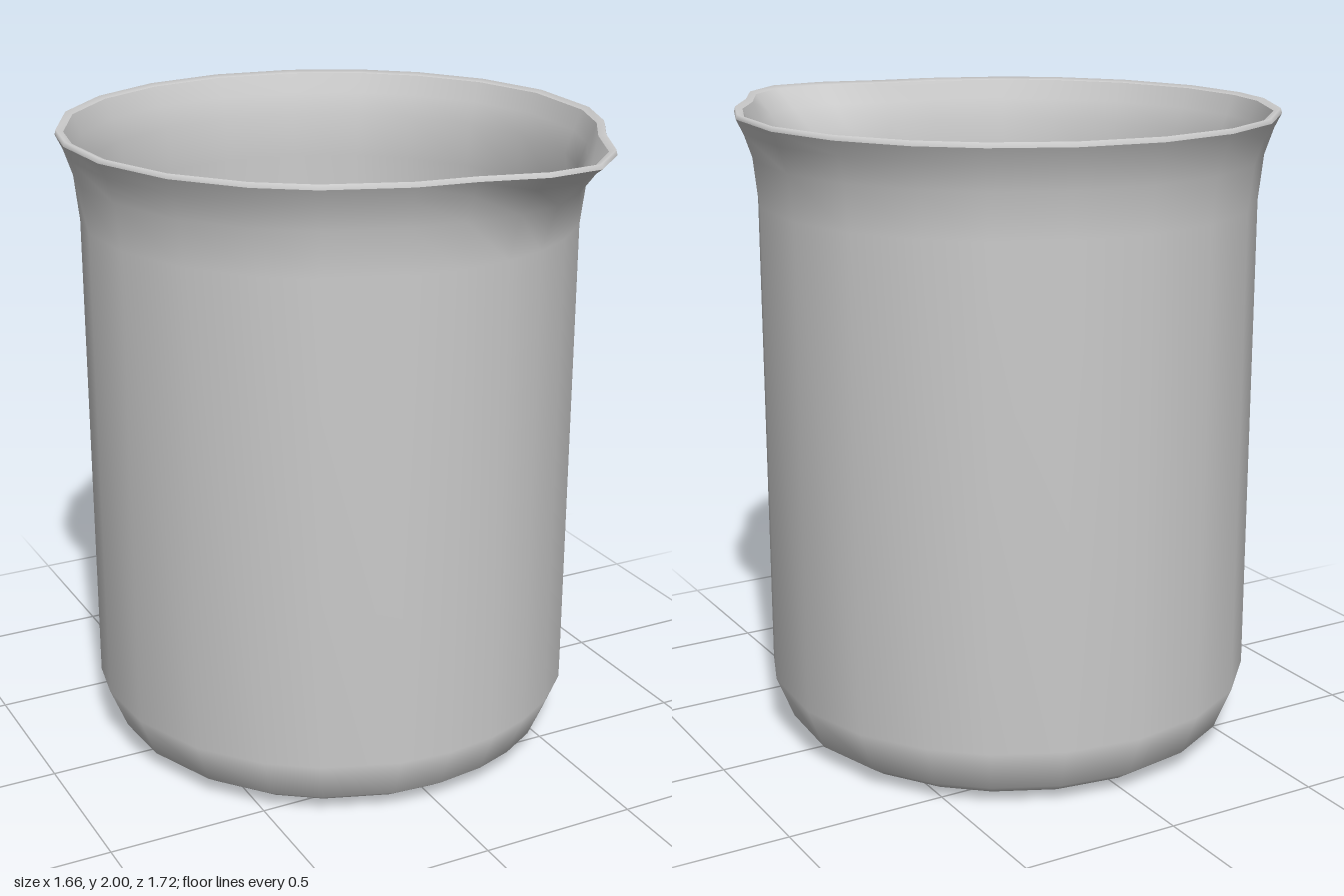
import * as THREE from 'three';

// Directions of the wall's vertical edges in degrees, 0 = front, closer together at the spout
const ANGLES = [1.4, 13.9, 24.7, 36, 49, 62, 76, 97, 115, 132, 146, 163, 181,
  199, 217, 235, 253, 265, 282, 301, 318, 331, 349];
const SPOUT_ANGLE = 25;
const AXIS_Z = -0.03;

// How far the lip is pulled out at this angle (0..1)
function spout(deg) {
  const d = Math.abs(((deg - SPOUT_ANGLE + 540) % 360) - 180);
  return d < 28 ? 0.5 + 0.5 * Math.cos((d / 28) * Math.PI) : 0;
}

// Sweep a profile of [radius, y, spout pull] round the axis with smooth normals
function sweep(profile) {
  const n = ANGLES.length, pos = [], index = [];
  for (const [r, y, pull = 0] of profile) {
    for (const deg of ANGLES) {
      const t = THREE.MathUtils.degToRad(deg);
      const radius = r + pull * spout(deg);
      pos.push(radius * Math.sin(t), y, radius * Math.cos(t) + AXIS_Z);
    }
  }
  for (let i = 0; i < profile.length - 1; i++) {
    for (let j = 0; j < n; j++) {
      const a = i * n + j, b = i * n + (j + 1) % n;
      if (profile[i][0] > 0) index.push(a, b, a + n);
      if (profile[i + 1][0] > 0) index.push(b, b + n, a + n);
    }
  }
  const geo = new THREE.BufferGeometry();
  geo.setAttribute('position', new THREE.Float32BufferAttribute(pos, 3));
  geo.setIndex(index);
  geo.computeVertexNormals();
  return geo;
}

export function createModel() {
  const group = new THREE.Group();
  group.name = 'beaker';
  const grey = new THREE.MeshStandardMaterial({ color: 0xcccccc, side: THREE.DoubleSide });
  grey.name = 'light grey';

  const parts = {
    // underside, rounded heel, straight wall and flared lip
    outerWall: [[0, 0.008], [0.53, 0.003], [0.66, 0.022], [0.715, 0.06], [0.77, 0.195],
      [0.77, 1.72], [0.785, 1.86, 0.035], [0.812, 1.94, 0.085], [0.834, 1.985, 0.125]],
    // narrow rounded edge on top
    rim: [[0.834, 1.985, 0.125], [0.83, 2, 0.125], [0.808, 1.992, 0.125]],
    // inside from the lip down to the floor
    innerWall: [[0.808, 1.992, 0.125], [0.782, 1.93, 0.085], [0.757, 1.86, 0.035],
      [0.742, 1.72], [0.742, 0.2], [0.69, 0.075], [0.63, 0.035], [0.5, 0.02], [0, 0.018]],
  };
  for (const [name, profile] of Object.entries(parts)) {
    const mesh = new THREE.Mesh(sweep(profile), grey);
    mesh.name = name;
    group.add(mesh);
  }
  return group;
}
